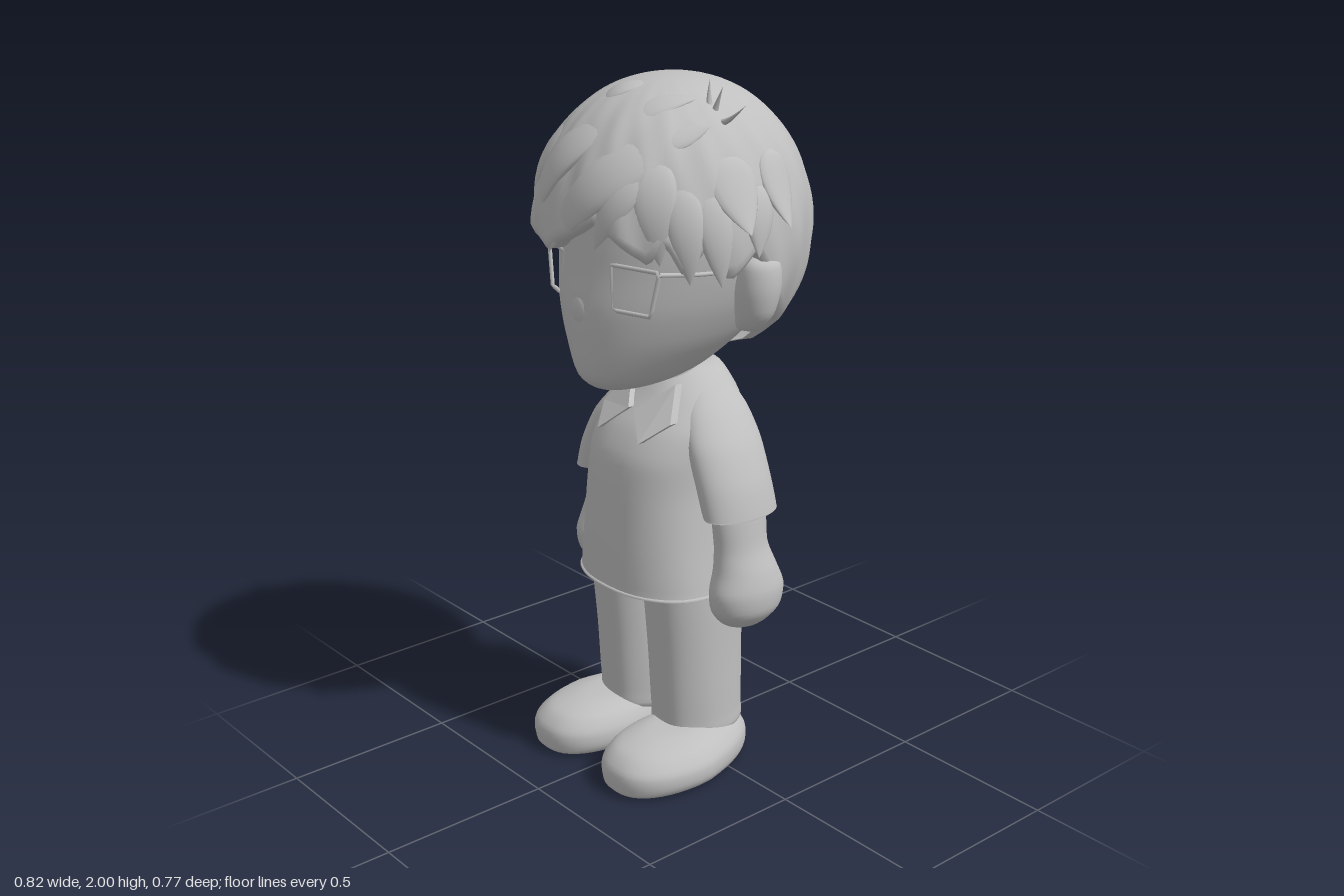
import * as THREE from 'three';

const clay = new THREE.MeshStandardMaterial({ color: 0xbfbfbf, side: THREE.DoubleSide });
clay.name = 'clay grey';
const V = (x, y, z) => new THREE.Vector3(x, y, z);
const pw = (n, p) => Math.sign(n) * Math.abs(n) ** (2 / p);

// Closed skin of rings: f(v, angle) gives a point; angle 0 is the front, growing towards +x
function skin(rows, cols, f) {
  const pos = [], idx = [];
  for (let i = 0; i <= rows; i++)
    for (let j = 0; j < cols; j++) pos.push(...f(i / rows, (j / cols) * Math.PI * 2));
  for (let i = 0; i < rows; i++)
    for (let j = 0; j < cols; j++) {
      const a = i * cols + j, b = i * cols + (j + 1) % cols;
      idx.push(a, b, b + cols, a, b + cols, a + cols);
    }
  const g = new THREE.BufferGeometry();
  g.setAttribute('position', new THREE.Float32BufferAttribute(pos, 3));
  g.setIndex(idx);
  g.computeVertexNormals();
  return g;
}

// Smooth loft through sections [cx, y, cz, rx, rz, roundness], bottom to top; s mirrors x
function loft(sections, s = 1, ripple = () => 0) {
  const mid = new THREE.CatmullRomCurve3(sections.map(c => V(c[0] * s, c[1], c[2])), false, 'catmullrom', 0.4);
  const rad = new THREE.CatmullRomCurve3(sections.map(c => V(c[3], c[4], c[5] ?? 2)), false, 'catmullrom', 0.4);
  return skin((sections.length - 1) * 4, 48, (v, a) => {
    const c = mid.getPoint(v), r = rad.getPoint(v), k = 1 + ripple(a, c.y);
    return [c.x + Math.max(r.x, 0) * k * pw(Math.sin(a), r.z), c.y, c.z + Math.max(r.y, 0) * k * pw(Math.cos(a), r.z)];
  });
}

// Hair volume, and its hairline as [degrees from the front, height]
const hairCentre = V(0.005, 1.585, 0), hairSize = V(0.366, 0.408, 0.383);
const hairline = [[-180, 1.2], [-140, 1.25], [-112, 1.36], [-100, 1.42], [-88, 1.57], [-78, 1.51], [-68, 1.59],
  [-55, 1.52], [-45, 1.6], [-30, 1.58], [-12, 1.55], [5, 1.61], [15, 1.65], [27, 1.61], [41, 1.55], [48, 1.61],
  [56, 1.52], [66, 1.6], [76, 1.5], [88, 1.57], [100, 1.42], [112, 1.36], [140, 1.25], [180, 1.2]];
function hemAt(deg) {
  const i = Math.max(1, hairline.findIndex(h => h[0] >= deg));
  const [a, ya] = hairline[i - 1], [b, yb] = hairline[i];
  return ya + (yb - ya) * (deg - a) / (b - a);
}
const onHair = p => {
  const d = p.clone().sub(hairCentre);
  return d.divideScalar(d.clone().divide(hairSize).length()).add(hairCentre);
};

// Leaf-shaped lock that hugs the hair from its root to a free tip
function lockGeometry(from, to, width, thick) {
  const a = V(...from), b = V(...to), dir = b.clone().sub(a).normalize();
  const mid = a.clone().add(b).multiplyScalar(0.5);
  const out = mid.clone().sub(hairCentre);
  out.addScaledVector(dir, -out.dot(dir)).normalize();
  const side = dir.clone().cross(out);
  const curve = new THREE.QuadraticBezierCurve3(a, onHair(mid).multiplyScalar(2).sub(mid), b);
  return skin(16, 16, (v, t) => {
    const w = 2.6 * Math.sqrt(v) * (1 - v);
    return curve.getPoint(v).addScaledVector(side, width * w * Math.sin(t)).addScaledVector(out, thick * w * Math.cos(t)).toArray();
  });
}

export function createModel() {
  const model = new THREE.Group();
  model.name = 'standingBoy';
  const add = (name, geo, parent = model) => {
    const m = new THREE.Mesh(geo, clay);
    m.name = name;
    parent.add(m);
    return m;
  };
  const group = name => {
    const g = new THREE.Group();
    g.name = name;
    model.add(g);
    return g;
  };

  // Head with a soft chin, and a slight nose
  add('head', loft([
    [0, 1.15, 0.13, 0, 0], [0, 1.155, 0.13, 0.06, 0.12], [0, 1.2, 0.1, 0.13, 0.21], [0, 1.3, 0.045, 0.217, 0.28],
    [0, 1.4, 0.015, 0.27, 0.313], [0, 1.5, -0.005, 0.3, 0.32], [0, 1.6, -0.01, 0.31, 0.315],
    [0, 1.75, 0, 0.28, 0.28], [0, 1.88, 0, 0.12, 0.12], [0, 1.9, 0, 0, 0]]));
  const nose = add('nose', new THREE.SphereGeometry(0.05, 24, 16));
  nose.position.set(0, 1.39, 0.311);
  nose.scale.set(0.8, 1, 0.42);
  add('neck', new THREE.CylinderGeometry(0.072, 0.085, 0.16, 32)).position.set(0, 1.13, -0.01);

  // Hair shell: rounded cap with strand furrows and a jagged hem that tucks inwards
  const hair = group('hair');
  add('hairCap', skin(40, 144, (v, a) => {
    const deg = THREE.MathUtils.radToDeg(a > Math.PI ? a - 2 * Math.PI : a);
    const tuck = v < 0.06 ? 0.86 + v * 2.3 : 1;
    const low = Math.acos(THREE.MathUtils.clamp((hemAt(deg) - hairCentre.y) / hairSize.y, -0.96, 1));
    const t = low * (1 - Math.max(0, (v - 0.05) / 0.95));
    const front = (1 + Math.cos(a)) / 2;
    const strands = (0.012 * Math.sin(13 * a + 5 * t) + 0.009 * Math.sin(23 * a - 7 * t)) * Math.sin(t) * (0.5 + 0.5 * front);
    const r = Math.sin(t) ** 0.93 * (1 + strands) * tuck;
    return [hairCentre.x + hairSize.x * r * pw(Math.sin(a), 2.12), hairCentre.y + hairSize.y * Math.cos(t), hairSize.z * r * pw(Math.cos(a), 2.12)];
  }), hair);

  // Side tufts flick outwards, fringe locks sweep across the brow, small leaves lie on the crown
  const locks = {
    sideLock: [
      [[-0.29, 1.82, 0.03], [-0.415, 1.56, 0.0], 0.06, 0.02], [[-0.27, 1.82, 0.12], [-0.4, 1.55, 0.07], 0.06, 0.02],
      [[-0.26, 1.78, 0.19], [-0.37, 1.54, 0.13], 0.06, 0.02], [[0.3, 1.82, -0.08], [0.41, 1.63, -0.06], 0.06, 0.02],
      [[0.29, 1.82, 0.07], [0.41, 1.63, 0.08], 0.07, 0.02], [[0.33, 1.75, 0.0], [0.385, 1.56, 0.03], 0.05, 0.02],
      [[0.3, 1.75, 0.14], [0.355, 1.49, 0.13], 0.05, 0.02], [[0.27, 1.76, 0.2], [0.31, 1.5, 0.2], 0.05, 0.02],
      [[-0.28, 1.72, 0.2], [-0.31, 1.5, 0.19], 0.05, 0.02]],
    fringeLock: [
      [[0.22, 1.85, 0.18], [-0.08, 1.54, 0.36], 0.065, 0.018], [[0.05, 1.9, 0.22], [-0.18, 1.57, 0.325], 0.065, 0.018],
      [[0.2, 1.82, 0.23], [0.26, 1.55, 0.26], 0.06, 0.018], [[-0.12, 1.88, 0.22], [-0.26, 1.55, 0.25], 0.06, 0.018],
      [[0.19, 1.81, 0.24], [0.11, 1.58, 0.355], 0.05, 0.018]],
    crownLock: [
      [[-0.06, 1.925, 0.19], [0.05, 1.97, 0.08], 0.04, 0.012], [[0.08, 1.9, 0.22], [0.18, 1.95, 0.06], 0.04, 0.012],
      [[0.2, 1.85, 0.21], [0.26, 1.89, 0.09], 0.035, 0.012], [[-0.22, 1.9, -0.04], [-0.3, 1.87, -0.07], 0.025, 0.012]],
    sprout: [
      [[0.22, 1.91, 0.04], [0.2, 2.0, 0.04], 0.01, 0.008], [[0.22, 1.91, 0.04], [0.245, 1.985, 0.035], 0.01, 0.008],
      [[0.22, 1.92, 0.04], [0.33, 1.945, 0.035], 0.012, 0.01]],
  };
  for (const [name, list] of Object.entries(locks))
    for (const l of list) add(name, lockGeometry(...l), hair);

  // Spectacles, with the inner rims sunk into the face
  const glasses = group('glasses');
  const bar = (pts, name) => add(name, new THREE.TubeGeometry(
    new THREE.CatmullRomCurve3(pts, false, 'catmullrom', 0), (pts.length - 1) * 6, 0.006, 8), glasses);
  for (const s of [1, -1]) {
    const w = s > 0 ? 0.265 : 0.205;
    const rim = [[0.1, 1.53, 0.29], [w, 1.535, 0.265], [w - 0.025, 1.415, 0.275], [0.11, 1.41, 0.295], [0.1, 1.53, 0.29]];
    bar(rim.map(q => V(q[0] * s, q[1], q[2])), 'lensRim');
    bar([V(w * s, 1.53, 0.265), V(0.29 * s, 1.52, 0.17), V(0.32 * s, 1.51, 0.0)], 'temple');
  }

  // Shirt body, with loose folds at the back
  add('shirt', loft([
    [0.01, 0.6, 0.02, 0, 0, 2.4], [0.01, 0.575, 0.016, 0.235, 0.222, 2.4], [0.01, 0.57, 0.016, 0.25, 0.234, 2.4],
    [0.005, 0.7, 0.015, 0.232, 0.229, 2.4], [0, 0.85, 0.012, 0.217, 0.219, 2.4], [0, 0.95, 0.008, 0.215, 0.206, 2.4],
    [0, 1.03, -0.008, 0.212, 0.178, 2.3], [0, 1.1, -0.038, 0.178, 0.142, 2.2], [0, 1.155, -0.055, 0.115, 0.112],
    [0, 1.18, -0.06, 0.07, 0.08], [0, 1.182, -0.05, 0, 0]], 1,
    (a, y) => 0.025 * Math.sin(7 * a + 1) * Math.max(0, (1 - y) / 0.43) * (1 - Math.cos(a)) / 2));

  // Collar: a band and two folded points sitting on the chest
  const band = add('collarBand', new THREE.TorusGeometry(0.088, 0.02, 12, 40));
  band.rotation.x = Math.PI / 2 + 0.3;
  band.position.set(0, 1.125, -0.005);
  for (const s of [1, -1]) {
    const outline = [[0.095, 1.15], [0.012, 1.075], [0.09, 1.005], [0.145, 1.06]];
    const flap = new THREE.Shape(outline.map(q => new THREE.Vector2(q[0] * s, q[1])));
    const g = new THREE.ExtrudeGeometry(flap, { depth: 0.025, bevelEnabled: false });
    const p = g.attributes.position;
    for (let i = 0; i < p.count; i++)
      p.setZ(i, p.getZ(i) + 0.163 - (p.getY(i) - 1.03) * 0.9 - p.getX(i) ** 2 * 1.6);
    g.computeVertexNormals();
    add('collarPoint', g);
  }

  for (const s of [1, -1]) {
    const side = s > 0 ? 'left' : 'right';
    add(side + 'Ear', loft([
      [0.29, 1.335, -0.02, 0, 0], [0.295, 1.345, -0.02, 0.035, 0.03], [0.315, 1.39, -0.022, 0.055, 0.05],
      [0.325, 1.46, -0.025, 0.06, 0.063], [0.33, 1.53, -0.027, 0.046, 0.055], [0.325, 1.56, -0.025, 0, 0]], s));
    add(side + 'Sleeve', loft([
      [0.28, 0.84, -0.01, 0, 0], [0.283, 0.82, -0.01, 0.062, 0.112], [0.283, 0.815, -0.01, 0.071, 0.122],
      [0.253, 0.9, -0.01, 0.077, 0.122], [0.203, 1.0, -0.018, 0.077, 0.12], [0.15, 1.08, -0.035, 0.064, 0.1],
      [0.12, 1.13, -0.05, 0.03, 0.06], [0.11, 1.14, -0.05, 0, 0]], s));
    add(side + 'Arm', loft([
      [0.29, 0.475, -0.02, 0, 0], [0.29, 0.483, -0.02, 0.05, 0.065], [0.3, 0.53, -0.02, 0.08, 0.11],
      [0.303, 0.59, -0.02, 0.083, 0.12], [0.297, 0.65, -0.018, 0.074, 0.1], [0.285, 0.72, -0.012, 0.06, 0.085],
      [0.272, 0.85, -0.01, 0.05, 0.085], [0.25, 0.9, -0.01, 0, 0]], s));
    add(side + 'Leg', loft([
      [0.118, 0.09, 0, 0, 0, 2.3], [0.118, 0.1, 0, 0.107, 0.125, 2.3], [0.118, 0.16, 0.003, 0.114, 0.135, 2.3],
      [0.118, 0.35, 0.01, 0.114, 0.142, 2.3], [0.118, 0.56, 0.018, 0.115, 0.155, 2.3], [0.11, 0.64, 0.018, 0.11, 0.16, 2.3],
      [0.11, 0.65, 0.018, 0, 0]], s, (a, y) => 0.035 * Math.sin(5 * a) * Math.max(0, 0.65 - y)));

    // Shoe: rounded block, wider at the toe than at the heel
    const shoe = loft([
      [0.162, 0, 0.105, 0, 0, 2.3], [0.162, 0.002, 0.105, 0.12, 0.225, 2.4], [0.162, 0.03, 0.105, 0.151, 0.25, 2.4],
      [0.162, 0.075, 0.105, 0.151, 0.247, 2.4], [0.157, 0.115, 0.1, 0.122, 0.21, 2.3],
      [0.15, 0.138, 0.09, 0.07, 0.13], [0.15, 0.142, 0.08, 0, 0]], s);
    const q = shoe.attributes.position;
    for (let i = 0; i < q.count; i++) {
      const heel = THREE.MathUtils.clamp((0.12 - q.getZ(i)) / 0.26, 0, 1);
      q.setX(i, q.getX(i) - s * heel * 0.03 - (q.getX(i) - 0.16 * s) * heel * 0.2);
    }
    shoe.computeVertexNormals();
    add(side + 'Shoe', shoe);
  }
  return model;
}
